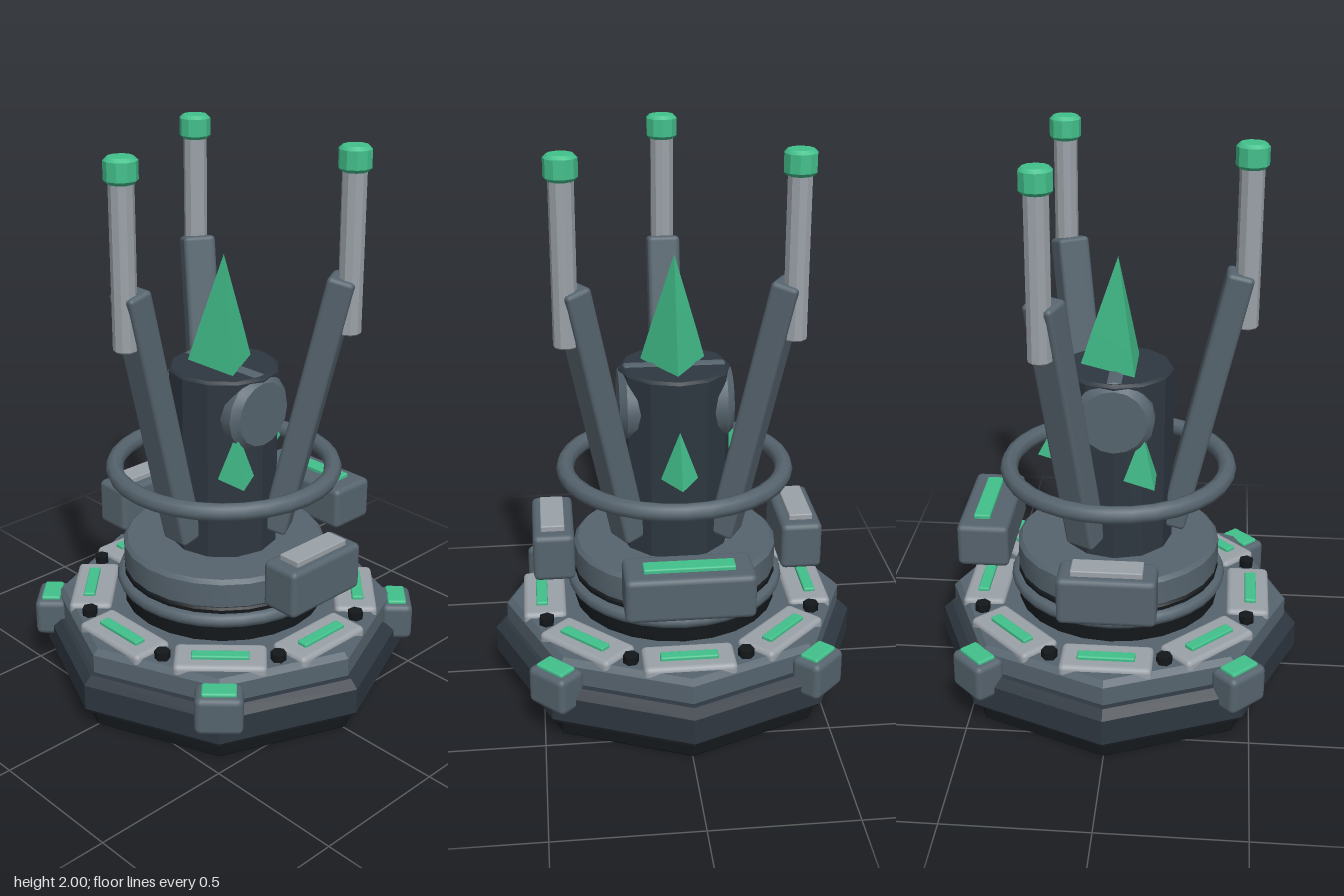
import * as THREE from 'three';
import { RoundedBoxGeometry } from 'three/addons/geometries/RoundedBoxGeometry.js';
import { toCreasedNormals } from 'three/addons/utils/BufferGeometryUtils.js';

const paint = (color) => new THREE.MeshStandardMaterial({ color });
const black = paint(0x14181b);
const dark = paint(0x2e3740);
const slate = paint(0x56646e);
const light = paint(0x9ba2a8);
const green = paint(0x43c08c);

function add(parent, name, geometry, material, x = 0, y = 0, z = 0) {
  const mesh = new THREE.Mesh(geometry, material);
  mesh.name = name;
  mesh.position.set(x, y, z);
  parent.add(mesh);
  return mesh;
}

// Solid disc or drum between two heights, with bevelled rims
function drum(r, y0, y1, bevel, sides) {
  const profile = [
    [0, y0], [r - bevel, y0], [r, y0 + bevel], [r, y1 - bevel], [r - bevel, y1], [0, y1],
  ].map(([x, y]) => new THREE.Vector2(x, y));
  return toCreasedNormals(new THREE.LatheGeometry(profile, sides), 0.5);
}

const block = (w, h, d, r) => new RoundedBoxGeometry(w, h, d, 2, r);

// Group whose local +z points outward at the given angle
function spoke(parent, name, angle) {
  const group = new THREE.Group();
  group.name = name;
  group.rotation.y = angle;
  parent.add(group);
  return group;
}

function buildBase(model) {
  add(model, 'foot', drum(0.62, 0, 0.08, 0.008, 8), black);
  add(model, 'baseSlab', drum(0.67, 0.06, 0.215, 0.03, 8), dark);
  add(model, 'baseDeck', drum(0.625, 0.2, 0.308, 0.02, 8), slate);

  for (let i = 0; i < 8; i++) {
    const panel = spoke(model, 'deckPanel', (i * Math.PI) / 4);
    add(panel, 'plate', block(0.32, 0.05, 0.155, 0.018), light, 0, 0.3, 0.485);
    add(panel, 'lightStrip', block(0.2, 0.03, 0.042, 0.006), green, 0, 0.323, 0.495);
    const bolt = spoke(model, 'deckBolt', ((i + 0.5) * Math.PI) / 4);
    add(bolt, 'bolt', new THREE.CylinderGeometry(0.028, 0.028, 0.05, 6), black, 0, 0.312, 0.52);
  }
  // Corner clamps
  for (let i = 0; i < 4; i++) {
    const clamp = spoke(model, 'cornerClamp', Math.PI / 4 + (i * Math.PI) / 2);
    add(clamp, 'clampBody', block(0.165, 0.14, 0.115, 0.022), slate, 0, 0.215, 0.645);
    add(clamp, 'clampLight', block(0.12, 0.03, 0.07, 0.008), green, 0, 0.282, 0.645);
  }
}

function buildTurntable(model) {
  add(model, 'turntableNeck', drum(0.37, 0.29, 0.44, 0.01, 24), black);
  const band = add(model, 'turntableBand', new THREE.TorusGeometry(0.37, 0.026, 8, 32), slate, 0, 0.392, 0);
  band.rotation.x = Math.PI / 2;
  add(model, 'turntable', drum(0.37, 0.43, 0.545, 0.014, 24), slate);
}

function buildCore(model) {
  add(model, 'column', drum(0.197, 0.53, 1.21, 0.01, 12), dark);
  const hub = add(model, 'crossHub', drum(0.14, -0.2, 0.2, 0.025, 16), slate, 0, 1.075, 0);
  hub.rotation.z = Math.PI / 2;

  // Three-sided spire, steeper above its skirt
  const spire = [[0, 1.2], [0.135, 1.2], [0.092, 1.333], [0, 1.605]].map(([x, y]) => new THREE.Vector2(x, y));
  const spireGeometry = toCreasedNormals(new THREE.LatheGeometry(spire, 3), 0.1);
  add(model, 'spire', spireGeometry, green).rotation.y = Math.PI;

  for (let i = 0; i < 3; i++) {
    const fin = spoke(model, 'sideSpike', Math.PI / 3 + (i * 2 * Math.PI) / 3);
    const cone = toCreasedNormals(new THREE.ConeGeometry(0.1, 0.19, 3), 0.1);
    add(fin, 'spike', cone, green, 0, 0.945, 0.192);
  }

  const ring = add(model, 'floatingRing', new THREE.TorusGeometry(0.394, 0.032, 8, 32), slate, 0, 0.824, 0);
  ring.rotation.x = Math.PI / 2;
}

function buildArms(model) {
  const tilt = Math.atan2(0.22, 0.96);
  for (let i = 0; i < 3; i++) {
    const arm = spoke(model, 'arm', (i * 2 * Math.PI) / 3);
    add(arm, 'strut', block(0.118, 0.985, 0.095, 0.016), slate, 0, 1.08, 0.308).rotation.x = tilt;
    add(arm, 'rod', drum(0.042, 1.365, 1.93, 0.005, 10), light, 0, 0, 0.44);
    add(arm, 'rodCap', drum(0.056, 1.915, 2, 0.012, 10), green, 0, 0, 0.44);
  }
}

function buildPods(model) {
  for (const side of [-1, 1]) {
    const pod = spoke(model, 'sidePod', (side * Math.PI) / 2);
    add(pod, 'podBody', block(0.34, 0.175, 0.148, 0.02), slate, 0, 0.55, 0.445);
    add(pod, 'podPanel', block(0.245, 0.03, 0.085, 0.005), light, 0, 0.643, 0.447);
  }
  const rear = spoke(model, 'rearPod', Math.PI);
  add(rear, 'podBody', block(0.44, 0.16, 0.185, 0.02), slate, 0, 0.58, 0.468);
  add(rear, 'podLight', block(0.31, 0.03, 0.06, 0.006), green, 0, 0.66, 0.478);
}

export function createModel() {
  const model = new THREE.Group();
  model.name = 'beaconTower';
  buildBase(model);
  buildTurntable(model);
  buildCore(model);
  buildArms(model);
  buildPods(model);
  return model;
}
